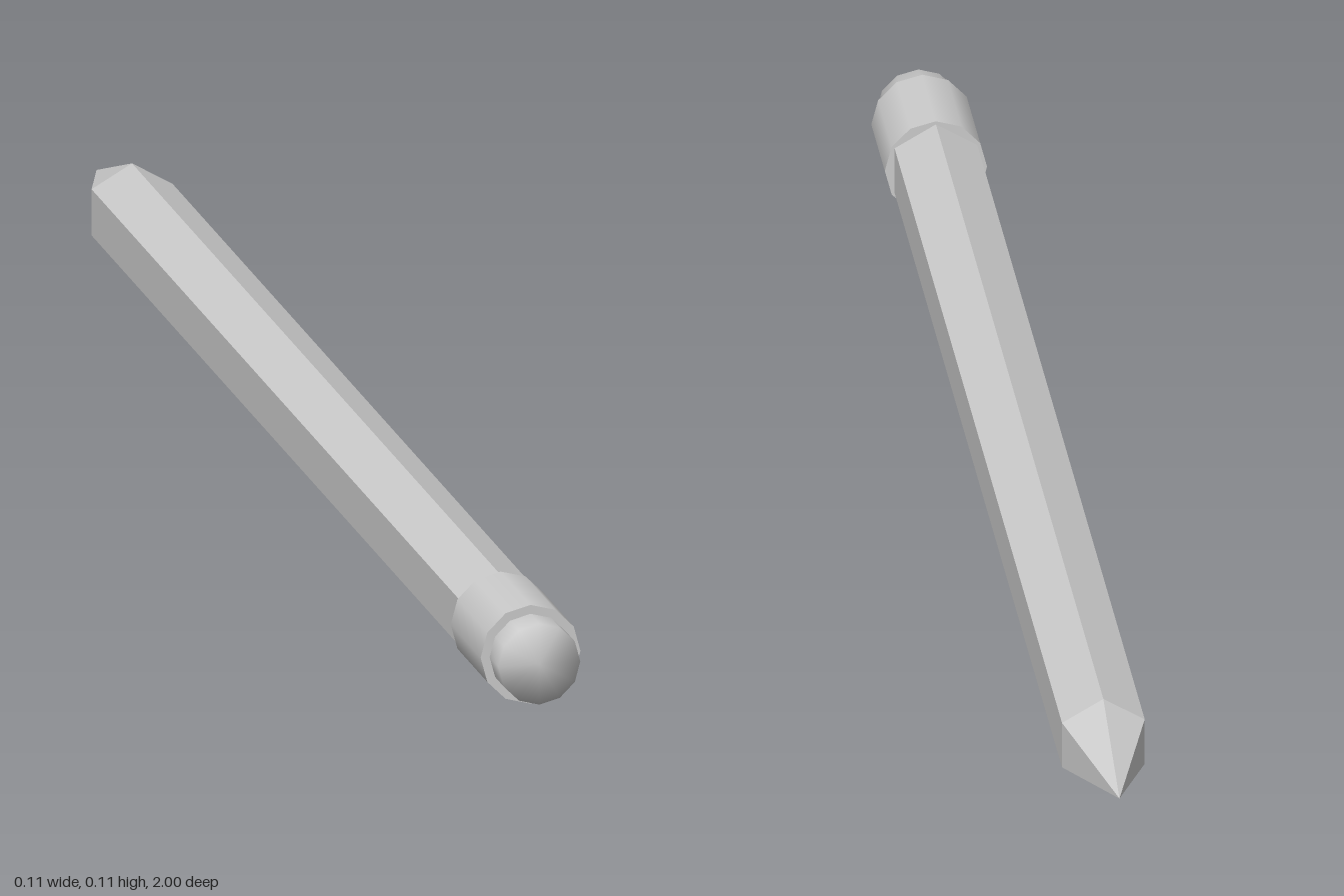
import * as THREE from 'three';
import { mergeVertices } from 'three/addons/utils/BufferGeometryUtils.js';

const AXIS_Y = 0.0567;

// A prism along z with a corner at the top and bottom
function prism(rFront, rBack, zBack, zFront, sides) {
  const g = new THREE.CylinderGeometry(rFront, rBack, zFront - zBack, sides);
  g.rotateX(Math.PI / 2);
  g.translate(0, AXIS_Y, (zBack + zFront) / 2);
  return g;
}

export function createModel() {
  const model = new THREE.Group();
  const flat = new THREE.MeshStandardMaterial({ color: 0xcccccc, flatShading: true });
  const smooth = new THREE.MeshStandardMaterial({ color: 0xcccccc });

  const add = (name, geometry, material) => {
    const mesh = new THREE.Mesh(geometry, material);
    mesh.name = name;
    model.add(mesh);
  };

  // Hexagonal shaft and its sharpened end
  add('shaft', prism(0.053, 0.053, -0.84, 0.9, 6), flat);
  add('sharpenedTip', prism(0.053, 0, -1, -0.84, 6), flat);

  // Collar holding the eraser
  add('ferrule', prism(0.0567, 0.0567, 0.825, 0.96, 12), smooth);

  // Eraser with normals shared across its rim for a soft end
  let eraser = prism(0.0465, 0.0465, 0.9, 1, 12);
  eraser.deleteAttribute('uv');
  eraser.deleteAttribute('normal');
  eraser = mergeVertices(eraser, 1e-5);
  eraser.computeVertexNormals();
  add('eraser', eraser, smooth);

  return model;
}
